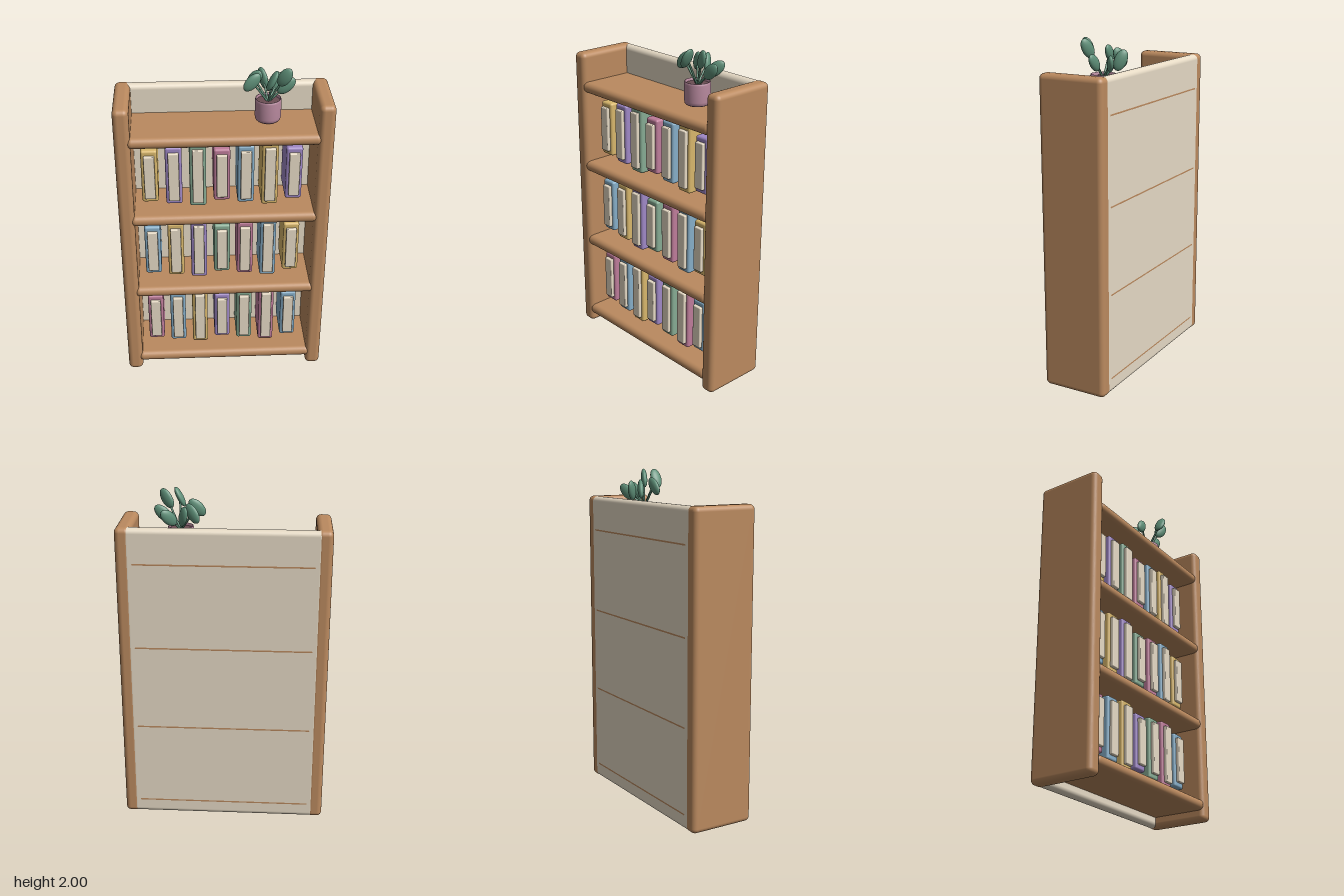
import * as THREE from 'three';
import { RoundedBoxGeometry } from 'three/addons/geometries/RoundedBoxGeometry.js';

const mat = (color) => new THREE.MeshStandardMaterial({ color });
const wood = mat(0xbb8a5f);
const cream = mat(0xe6dac5);
const leafGreen = mat(0x5f9079);
const potPink = mat(0xb98a9f);
potPink.side = THREE.DoubleSide;
const soilBrown = mat(0x6b4e54);
const covers = [0xd8b76c, 0x9f88c6, 0x86ab93, 0xbe7c9a, 0x86aec8].map(mat);

function add(parent, name, geometry, material, x = 0, y = 0, z = 0) {
  const mesh = new THREE.Mesh(geometry, material);
  mesh.name = name;
  mesh.position.set(x, y, z);
  parent.add(mesh);
  return mesh;
}

const rounded = (w, h, d, r) => new RoundedBoxGeometry(w, h, d, 4, r);

function createBook(height, cover) {
  const book = new THREE.Group();
  book.name = 'book';
  add(book, 'bookCover', rounded(0.095, height, 0.23, 0.014), cover, 0, 0, -0.005);
  // Pale block standing a little proud of the cover
  add(book, 'bookPages', rounded(0.062, height - 0.06, 0.21, 0.006), cream, 0, 0, 0.025);
  return book;
}

function createPlant() {
  const plant = new THREE.Group();
  plant.name = 'plant';
  const cx = 0.253;

  // Pot with a hollow rim, filled with soil
  const profile = [
    [0, 1.665], [0.062, 1.665], [0.07, 1.673], [0.074, 1.69], [0.075, 1.785],
    [0.072, 1.797], [0.068, 1.797], [0.066, 1.785], [0.066, 1.765],
  ].map(([r, y]) => new THREE.Vector2(r, y));
  add(plant, 'pot', new THREE.LatheGeometry(profile, 40), potPink, cx);
  add(plant, 'soil', new THREE.CylinderGeometry(0.067, 0.067, 0.02, 32), soilBrown, cx, 1.772);

  // Leaves: centre, long direction, face normal
  const leaves = [
    [[0.16, 1.9, 0.015], [0.65, 0.7, -0.1], [0.1, 0, 1]],
    [[0.265, 1.942, 0.092], [0.45, 0.9, 0], [0.9, -0.45, 0]],
    [[0.336, 1.942, 0.05], [0.5, 0.85, 0.2], [-0.45, 0, 0.88]],
    [[0.352, 1.868, -0.002], [0.7, 0.65, 0], [0, 0, 1]],
    [[0.312, 1.862, -0.08], [0.6, 0.65, -0.4], [0.5, 0, 0.8]],
    [[0.18, 1.885, -0.066], [0.5, 0.8, 0.25], [-0.45, 0, 0.88]],
    [[0.23, 1.875, -0.097], [-0.25, 0.9, -0.3], [0.8, 0, -0.5]],
  ];
  const leafGeometry = new THREE.SphereGeometry(1, 24, 16);
  const root = new THREE.Vector3(cx, 1.77, 0);
  for (const [center, long, normal] of leaves) {
    const c = new THREE.Vector3(...center);
    const u = new THREE.Vector3(...long).normalize();
    const side = u.clone().cross(new THREE.Vector3(...normal)).normalize();
    const leaf = add(plant, 'leaf', leafGeometry, leafGreen, ...center);
    leaf.quaternion.setFromRotationMatrix(
      new THREE.Matrix4().makeBasis(side, u, side.clone().cross(u)));
    leaf.scale.set(0.036, 0.062, 0.019);

    const middle = root.clone().lerp(c, 0.5);
    middle.y += 0.005;
    const stem = new THREE.QuadraticBezierCurve3(root, middle, c);
    add(plant, 'stem', new THREE.TubeGeometry(stem, 10, 0.006, 8), leafGreen);
  }
  return plant;
}

export function createModel() {
  const model = new THREE.Group();
  model.name = 'bookcase';

  // Case
  for (const s of [-1, 1]) {
    add(model, s > 0 ? 'leftSide' : 'rightSide', rounded(0.09, 1.83, 0.4, 0.03), wood, s * 0.565, 0.915, 0);
  }
  add(model, 'backPanel', rounded(1.13, 1.826, 0.065, 0.03), cream, 0, 0.915, -0.167);
  const shelfHeights = [0.092, 0.602, 1.114, 1.622];
  for (const y of shelfHeights) {
    add(model, 'shelf', rounded(1.09, 0.065, 0.4, 0.032), wood, 0, y, 0);
  }

  // Three rows of books, cover colours cycling along each row
  const rows = [[0.345, 3], [0.857, 4], [1.368, 0]];
  for (const [y, firstColor] of rows) {
    for (let i = 0; i < 7; i++) {
      const book = createBook(0.335 + (i % 3) * 0.035, covers[(firstColor + i) % 5]);
      book.position.set(-0.425 + i * 0.138, y, 0);
      model.add(book);
    }
  }

  model.add(createPlant());
  return model;
}
